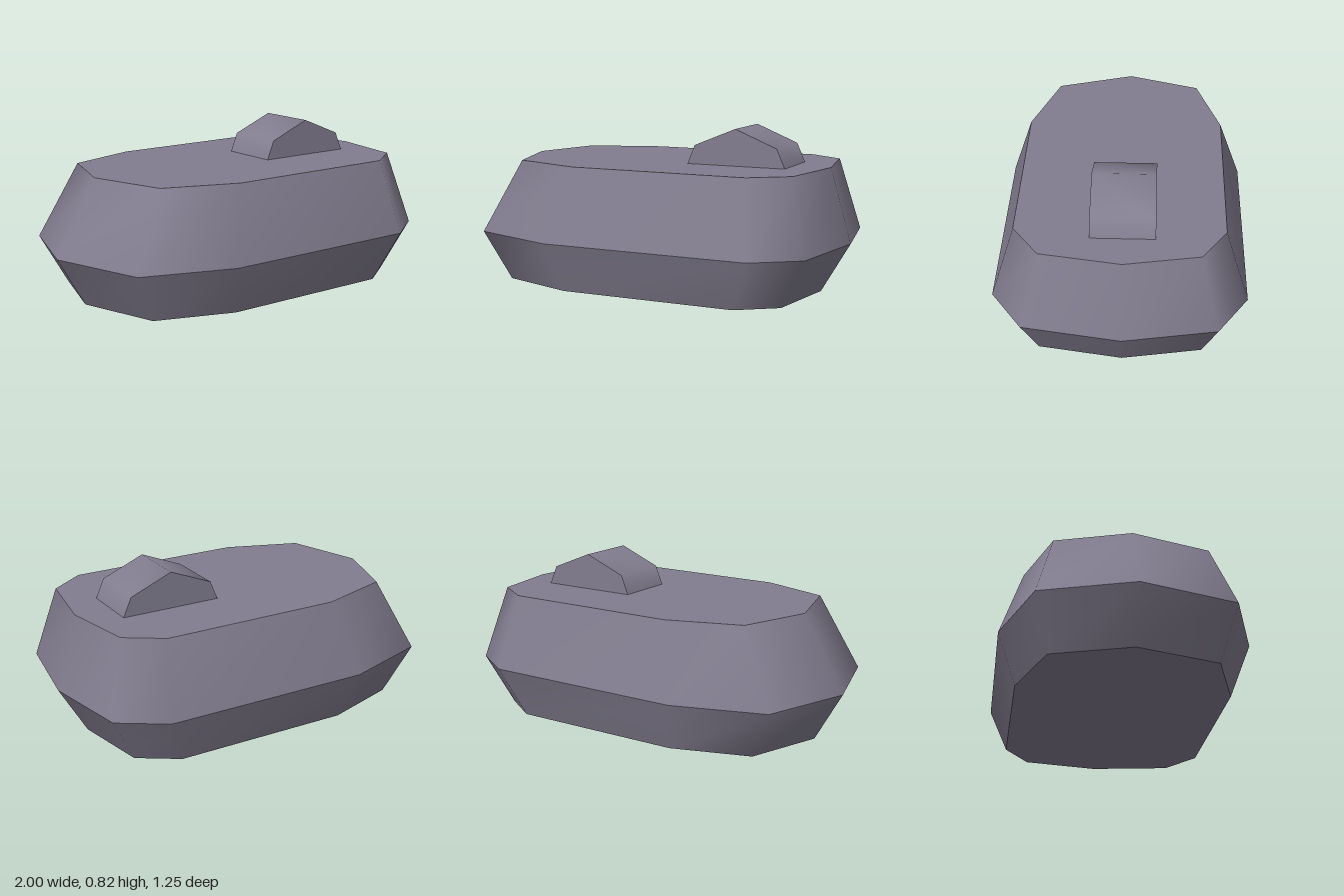
import * as THREE from 'three';

const slate = new THREE.MeshStandardMaterial({ color: 0x827d8f });
slate.name = 'slate';

function surface(name, points, index) {
  const g = new THREE.BufferGeometry();
  g.setAttribute('position', new THREE.Float32BufferAttribute(points.flat(), 3));
  g.setIndex(index);
  g.computeVertexNormals();
  const mesh = new THREE.Mesh(g, slate);
  mesh.name = name;
  return mesh;
}

// Smooth band between two rows of points; separate bands keep a sharp edge
function band(name, low, high, closed) {
  const n = low.length, index = [];
  for (let i = 0; i < (closed ? n : n - 1); i++) {
    const j = (i + 1) % n;
    index.push(i, j, n + j, i, n + j, n + i);
  }
  return surface(name, [...low, ...high], index);
}

// Flat convex cap
function cap(name, ring, flip = false) {
  const pts = flip ? [...ring].reverse() : ring, index = [];
  for (let i = 1; i < pts.length - 1; i++) index.push(0, i, i + 1);
  return surface(name, pts, index);
}

export function createModel() {
  const model = new THREE.Group();
  model.name = 'facetedHull';

  // Body outlines, counter-clockwise from above: [x, z]
  const waist = [[-1, -0.02], [-0.85, 0.465], [-0.39, 0.625], [0.69, 0.625], [0.92, 0.465],
    [1, 0.02 - 0.04], [0.92, -0.48], [0.69, -0.63], [-0.39, -0.63], [-0.85, -0.48]];
  const deck = [[-0.78, -0.02], [-0.66, 0.375], [-0.285, 0.508], [0.64, 0.508], [0.825, 0.375],
    [0.89, -0.02], [0.825, -0.39], [0.64, -0.512], [-0.285, -0.512], [-0.66, -0.39]];
  const ring = (outline, y, s = 1) => outline.map(([x, z]) => [x * s, y, z * s]);
  const low = ring(waist, 0, 0.852), mid = ring(waist, 0.255), top = ring(deck, 0.633);

  const body = new THREE.Group();
  body.name = 'body';
  body.add(band('lowerSides', low, mid, true), band('upperSides', mid, top, true),
    cap('topDeck', top), cap('underside', low, true));

  // Ridged knob on the deck
  const profile = [[0.18, 0.633], [0.22, 0.73], [0.44, 0.82], [0.66, 0.73], [0.703, 0.633]];
  const front = profile.map(([x, y]) => [x, y, 0.14]);
  const back = profile.map(([x, y]) => [x, y, -0.175]);
  const knob = new THREE.Group();
  knob.name = 'knob';
  knob.add(band('knobRoof', front, back, false),
    cap('knobFront', front, true), cap('knobBack', back));

  model.add(body, knob);
  return model;
}
